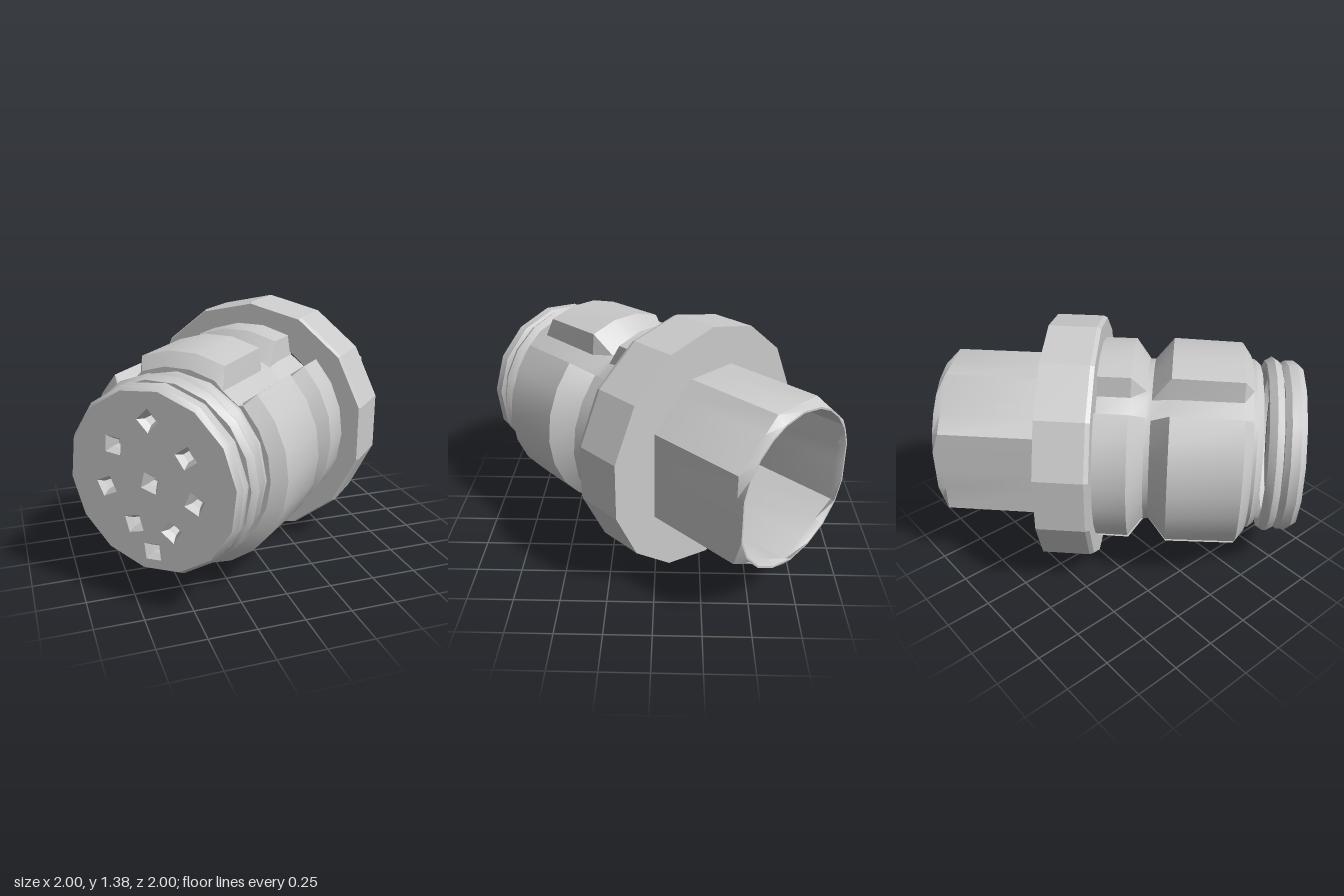
import * as THREE from 'three';
import { toCreasedNormals } from 'three/addons/utils/BufferGeometryUtils.js';

const DEG = Math.PI / 180;

export function createModel() {
  const metal = new THREE.MeshStandardMaterial({ color: 0xcacaca });
  metal.name = 'light grey metal';

  // The connector lies along local z: its front is +z, distances t run backwards.
  const connector = new THREE.Group();
  connector.name = 'connector';
  connector.position.y = 0.69;
  connector.rotation.y = -45 * DEG;

  const add = (name, geometry, crease = 0.5) => {
    const mesh = new THREE.Mesh(toCreasedNormals(geometry, crease), metal);
    mesh.name = name;
    connector.add(mesh);
    return mesh;
  };
  const points = (list) => list.map(([a, b]) => new THREE.Vector2(a, b));
  const lathe = (profile, sides) =>
    new THREE.LatheGeometry(points(profile), sides).rotateX(-Math.PI / 2);
  const ngon = (cx, cy, r, n, turn = 0) => points(Array.from({ length: n }, (_, i) => {
    const a = turn + (i / n) * Math.PI * 2;
    return [cx + r * Math.cos(a), cy + r * Math.sin(a)];
  }));

  // Lathe with chosen angles (0 = top), whose radius follows a rule at each angle
  const shapedLathe = (profile, angles, rule) => {
    const geometry = new THREE.LatheGeometry(points(profile), angles.length - 1);
    const pos = geometry.attributes.position;
    for (let k = 0; k < pos.count; k++) {
      const a = angles[Math.floor(k / profile.length)];
      const [r, t] = profile[k % profile.length];
      const radius = rule(a, r, t);
      pos.setXYZ(k, radius * Math.sin(a * DEG), t, radius * Math.cos(a * DEG));
    }
    return geometry.rotateX(-Math.PI / 2);
  };

  // Body: a turned profile with raised lugs and lower channels between them.
  // The left lug runs on under the body, leaving a narrow lug beside it.
  const bodyProfile = [
    [0, -0.69], [0.5, -0.69], [0.57, -0.64], [0.58, -0.26],
    [0.46, -0.16], [0.46, -0.13], [0.57, -0.05], [0.57, 0.14],
  ];
  const lugs = [[-24, 24, 3], [45, 168, 8], [194, 222, 2], [231, 315, 6]];
  const channels = [[31, 43], [170, 192], [224, 229], [317, 329]];
  const bodyAngles = lugs.flatMap(([from, to, steps], i) => [
    ...Array.from({ length: steps + 1 }, (_, j) => from + ((to - from) * j) / steps),
    ...channels[i],
  ]).concat(336);
  add('body', shapedLathe(bodyProfile, bodyAngles, (a, r) =>
    (channels.flat().includes(a) ? Math.min(r, 0.48) : r)));

  // Short collar ahead of the body
  add('frontCollar', lathe([[0, -0.745], [0.45, -0.745], [0.48, -0.71], [0.48, -0.68]], 16));

  // Flange with the stepped bore running through it
  add('flange', lathe([
    [0.5, 0.127], [0.68, 0.127], [0.69, 0.15], [0.69, 0.41],
    [0.28, 0.41], [0.28, -0.2], [0, -0.2],
  ], 14), 0.4);

  // Rear socket: thin-walled, angular inside and out, ending in a round rim
  const faces = [[0, 0.45], [40.2, 0.44], [90, 0.41], [151.8, 0.423]];
  const faceRadius = (a) => Math.min(...faces.flatMap(([n, d]) => {
    const c = Math.cos((Math.abs(a) - n) * DEG);
    return c > 0.1 ? [d / c] : [];
  }));
  const side = [18.4, 32, 46, 60.7, 75, 90, 106, 122.4, 141, 160, 180];
  const socketAngles = [...side.map((a) => -a).reverse(), 0, ...side];
  // Profile radii are offsets from the angular outline; the rim is capped to a circle
  const socketProfile = [[0, 0.4], [0, 0.96], [0, 1], [-0.01, 1], [-0.03, 0.96], [-0.03, 0.41]];
  add('rearSocket', shapedLathe(socketProfile, socketAngles, (a, offset, t) =>
    Math.min(faceRadius(a), t === 1 ? 0.43 : 1) + offset), 0.5);

  // Sealing ring
  add('sealRing', new THREE.TorusGeometry(0.452, 0.045, 6, 18), 0.9).position.z = 0.81;

  // Front cap with its contact holes
  const cap = new THREE.Shape(ngon(0, 0, 0.46, 14, 0.1));
  const holes = [
    [0, 0.31], [-0.2, 0.16], [0.2, 0.16], [0, 0], [-0.25, -0.06],
    [0.24, -0.06], [-0.1, -0.23], [0.11, -0.23], [0, -0.36],
  ];
  holes.forEach(([x, y], i) => cap.holes.push(new THREE.Path(ngon(x, y, 0.06, 4, i * 0.7))));
  const capGeometry = new THREE.ExtrudeGeometry(cap, {
    depth: 0.05, bevelEnabled: true, bevelSize: 0.02, bevelThickness: 0.03, bevelSegments: 1,
  });
  add('frontCap', capGeometry.translate(0, 0, 0.885));

  const model = new THREE.Group();
  model.name = 'cableConnector';
  model.add(connector);
  return model;
}
